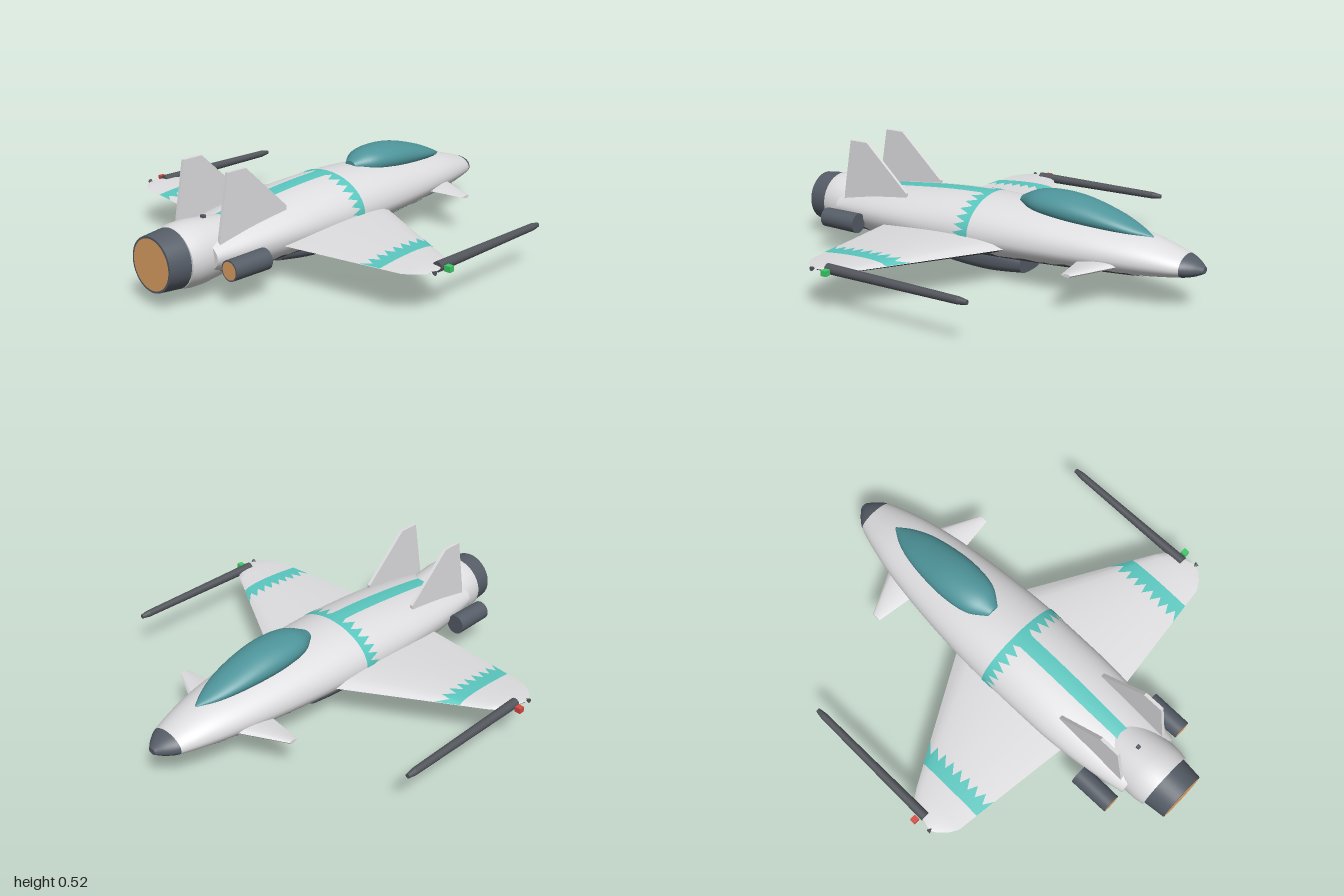
import * as THREE from 'three';
import { mergeVertices } from 'three/addons/utils/BufferGeometryUtils.js';

const paint = (name, color) => Object.assign(new THREE.MeshStandardMaterial({ color }), { name });

// Grid surface from a function of row and column; corners wind outward as columns turn anticlockwise
function sheet(fn, rows, cols, flip = false) {
  const pos = [], index = [];
  for (let i = 0; i <= rows; i++) for (let j = 0; j <= cols; j++) pos.push(...fn(i, j));
  for (let i = 0; i < rows; i++) for (let j = 0; j < cols; j++) {
    const a = i * (cols + 1) + j, b = a + 1, c = a + cols + 1, d = c + 1;
    index.push(...(flip ? [a, c, b, b, c, d] : [a, b, c, b, d, c]));
  }
  let g = new THREE.BufferGeometry();
  g.setAttribute('position', new THREE.Float32BufferAttribute(pos, 3));
  g.setIndex(index);
  g = mergeVertices(g, 1e-5);
  g.computeVertexNormals();
  return g;
}

// Smooth interpolation of a station table keyed by its first column
function at(table, z) {
  let k = 0;
  while (k < table.length - 2 && z > table[k + 1][0]) k++;
  const p1 = table[k], p2 = table[k + 1];
  const p0 = table[k - 1] ?? p1, p3 = table[k + 2] ?? p2;
  const d = p2[0] - p1[0], t = (z - p1[0]) / d;
  return p1.map((v, c) => {
    const m1 = (p2[c] - p0[c]) / (p2[0] - p0[0]) * d, m2 = (p3[c] - p1[c]) / (p3[0] - p1[0]) * d;
    return v + t * m1 + t * t * (3 * (p2[c] - v) - 2 * m1 - m2) + t ** 3 * (2 * (v - p2[c]) + m1 + m2);
  });
}

// z, half width, top, middle, bottom
const HULL = [
  [-1, 0.02, 0.195, 0.18, 0.168], [-0.965, 0.056, 0.218, 0.182, 0.152], [-0.92, 0.087, 0.237, 0.185, 0.142],
  [-0.76, 0.137, 0.283, 0.195, 0.122], [-0.6, 0.17, 0.308, 0.2, 0.112], [-0.4, 0.197, 0.33, 0.2, 0.1],
  [-0.2, 0.215, 0.345, 0.2, 0.09], [0, 0.225, 0.35, 0.2, 0.08], [0.2, 0.225, 0.343, 0.2, 0.073],
  [0.4, 0.22, 0.325, 0.2, 0.067], [0.6, 0.2, 0.3, 0.195, 0.065], [0.8, 0.165, 0.265, 0.19, 0.105],
];
function hull(z, a, lift = 0) {
  const [, w, top, mid, bottom] = at(HULL, z), s = Math.sin(a);
  return [(w + lift) * Math.cos(a), mid + s * ((s > 0 ? top - mid : mid - bottom) + lift), z];
}

// z, half width, centre height, half height
const CANOPY = [
  [-0.77, 0.004, 0.28, 0.004], [-0.7, 0.046, 0.295, 0.022], [-0.6, 0.08, 0.315, 0.042], [-0.45, 0.102, 0.335, 0.064],
  [-0.33, 0.104, 0.345, 0.066], [-0.22, 0.084, 0.348, 0.053], [-0.14, 0.03, 0.345, 0.02],
];
const INTAKE = [
  [-0.18, 0.095, 0.065, 0.045], [-0.05, 0.1, 0.063, 0.059], [0.05, 0.1, 0.062, 0.062],
  [0.2, 0.098, 0.065, 0.056], [0.37, 0.085, 0.075, 0.04],
];
const TURN = Math.PI * 2;
function oval(table, z, a, power = 1) {
  const [, w, cy, h] = at(table, z);
  const bend = (v) => Math.sign(v) * Math.abs(v) ** power;
  return [w * bend(Math.cos(a)), cy + h * bend(Math.sin(a)), z];
}
const mix = (a, b, t) => a + (b - a) * t;

// Skin between two stations of a section function, plus flat ends
const loft = (section, z0, z1, rows, cols) =>
  sheet((i, j) => section(mix(z0, z1, i / rows), (j % cols) / cols * TURN), rows, cols);
function endCap(section, z, facesBack, cols = 40) {
  const ring = Array.from({ length: cols }, (_, j) => section(z, j / cols * TURN));
  const mid = [0, ring.reduce((s, p) => s + p[1], 0) / cols, z];
  return sheet((i, j) => (i ? mid : ring[j % cols]), 1, cols, !facesBack);
}

// x, leading z, trailing z, centre height, half thickness
const WING = [
  [0.15, -0.203, 0.487, 0.173, 0.032], [0.225, -0.16, 0.478, 0.174, 0.03], [0.77, 0.152, 0.413, 0.187, 0.013],
  [0.81, 0.18, 0.39, 0.188, 0.011], [0.845, 0.25, 0.355, 0.189, 0.007], [0.858, 0.305, 0.33, 0.19, 0.003],
];
const CANARD = [[0.1, -0.7, -0.49, 0.176, 0.016], [0.17, -0.665, -0.506, 0.176, 0.015], [0.347, -0.573, -0.53, 0.176, 0.007]];
const CHORD = 16;
const foil = ([x, lead, trail, y, h], u, up, side, lift = 0) =>
  [side * x, y + up * (h * 2.6 * Math.sqrt(u) * (1 - u) + lift), mix(lead, trail, u)];
const wingSkin = (table, up, side) =>
  sheet((i, j) => foil(table[i], j / CHORD, up, side), table.length - 1, CHORD, up * side < 0);

export function createModel() {
  const model = new THREE.Group();
  model.name = 'spacePlane';
  const grey = paint('hullGrey', 0xdedee0), slate = paint('slate', 0x565d67), charcoal = paint('charcoal', 0x52555b);
  const teal = paint('tealPaint', 0x5ac8c0), glass = paint('canopyGlass', 0x4e959b), copper = paint('copperGlow', 0xe0a264);
  const red = paint('redLight', 0xd84a42), green = paint('greenLight', 0x3ecb68);
  const add = (name, geometry, material, x = 0, y = 0, z = 0) => {
    const m = new THREE.Mesh(geometry, material);
    m.name = name;
    m.position.set(x, y, z);
    model.add(m);
    return m;
  };
  const rod = (rBack, rFront, length, sides = 32) =>
    new THREE.CylinderGeometry(rBack, rFront, length, sides).rotateX(Math.PI / 2);

  // Fuselage and nose
  add('fuselage', loft(hull, -0.92, 0.8, 64, 48), grey);
  add('fuselageEnd', endCap(hull, 0.8, true), grey);
  add('noseCone', loft(hull, -1, -0.92, 10, 48), slate);
  add('noseTip', endCap(hull, -1, false), slate);

  // Dark belly with ragged edges
  add('bellyPaint', sheet((i, j) => {
    const inset = 0.66 + 0.08 * Math.sin(i * 2.3) + 0.05 * Math.sin(i * 1.1);
    const front = -0.77 + (j % 2) * 0.06;
    return hull(mix(front, 0.795, i / 48), mix(Math.PI + inset, TURN - inset, j / 18), 0.003);
  }, 48, 18), charcoal);

  // Toothed band and spine stripe
  add('bodyBand', sheet((i, j) =>
    hull(i ? (j % 2 ? 0.085 : 0.033) : 0.01, mix(-0.7, Math.PI + 0.7, j / 40), 0.003), 1, 40), teal);
  add('spineStripe', sheet((i, j) => hull(mix(0.03, 0.65, i / 24), Math.PI / 2 + mix(-0.16, 0.16, j / 4), 0.003), 24, 4), teal);

  // Canopy
  const canopy = (z, a) => oval(CANOPY, z, a);
  add('canopy', loft(canopy, -0.77, -0.14, 32, 40), glass);
  add('canopyEnd', endCap(canopy, -0.14, true), glass);

  // Belly intake
  const intake = (z, a) => oval(INTAKE, z, a, 0.75);
  add('bellyIntake', loft(intake, -0.18, 0.37, 20, 40), slate);
  add('intakeFront', endCap(intake, -0.18, false), slate);
  add('intakeBack', endCap(intake, 0.37, true), slate);

  // Tail collar and main engine
  const collar = [[0.111, 0.6], [0.124, 0.7], [0.134, 0.8], [0.133, 0.86], [0.126, 0.9]].map((p) => new THREE.Vector2(...p));
  add('tailCollar', new THREE.LatheGeometry(collar, 40).rotateX(Math.PI / 2), grey, 0, 0.183, 0).scale.x = 1.08;
  add('mainNozzle', rod(0.116, 0.126, 0.1, 40), slate, 0, 0.182, 0.949);
  add('mainExhaust', new THREE.CircleGeometry(0.107, 40), copper, 0, 0.182, 1);
  add('spineSensor', new THREE.BoxGeometry(0.016, 0.016, 0.016), slate, 0, 0.314, 0.73);

  // Fin outline in z and y
  const fin = new THREE.Shape([[0.77, 0.2], [0.76, 0.275], [0.715, 0.522], [0.62, 0.522], [0.4, 0.315], [0.4, 0.26]]
    .map(([z, y]) => new THREE.Vector2(-z, y)));

  for (const side of [1, -1]) {
    const label = side > 0 ? 'left' : 'right';
    // Wings: pale above, dark below
    add(label + 'WingTop', wingSkin(WING, 1, side), grey);
    add(label + 'WingUnderside', wingSkin(WING, -1, side), charcoal);
    add(label + 'WingBand', sheet((i, j) => {
      const x = i ? 0.675 : j % 2 ? 0.625 : 0.58;
      const t = (x - WING[1][0]) / (WING[2][0] - WING[1][0]);
      return foil(WING[1].map((v, c) => mix(v, WING[2][c], t)), j / CHORD, 1, side, 0.002);
    }, 1, CHORD, side < 0), teal);

    // Canards, closed at the tip
    for (const up of [1, -1]) add(label + (up > 0 ? 'CanardTop' : 'CanardUnderside'), wingSkin(CANARD, up, side), grey);
    add(label + 'CanardTip', sheet((i, j) => foil(CANARD[2], j / CHORD, i ? 1 : -1, side), 1, CHORD, side > 0), grey);

    // Tail fins
    const blade = new THREE.ExtrudeGeometry(fin, { depth: 0.015, bevelEnabled: false });
    blade.translate(0, 0, -0.0075).rotateY(Math.PI / 2);
    add(label + 'Fin', blade, grey, side * 0.133);

    // Side thrusters
    add(label + 'Thruster', rod(0.044, 0.046, 0.19), slate, side * 0.23, 0.162, 0.705);
    add(label + 'ThrusterExhaust', new THREE.CircleGeometry(0.038, 32), copper, side * 0.23, 0.162, 0.801);

    // Wingtip cannon with stepped barrel
    add(label + 'CannonBody', rod(0.022, 0.018, 0.42, 16), charcoal, side * 0.832, 0.192, 0.06);
    add(label + 'CannonBarrel', rod(0.018, 0.016, 0.22, 16), charcoal, side * 0.832, 0.192, -0.26);
    add(label + 'CannonMuzzle', rod(0.016, 0.01, 0.04, 16), charcoal, side * 0.832, 0.192, -0.39);

    // Navigation light and wingtip spike
    add(label + 'Light', new THREE.BoxGeometry(0.028, 0.024, 0.026), side > 0 ? green : red, side * 0.872, 0.19, 0.247);
    const spike = new THREE.ConeGeometry(0.01, 0.026, 12).rotateZ(side * Math.PI / 2);
    add(label + 'TipSpike', spike, charcoal, side * 0.855, 0.19, 0.325);
  }
  return model;
}
